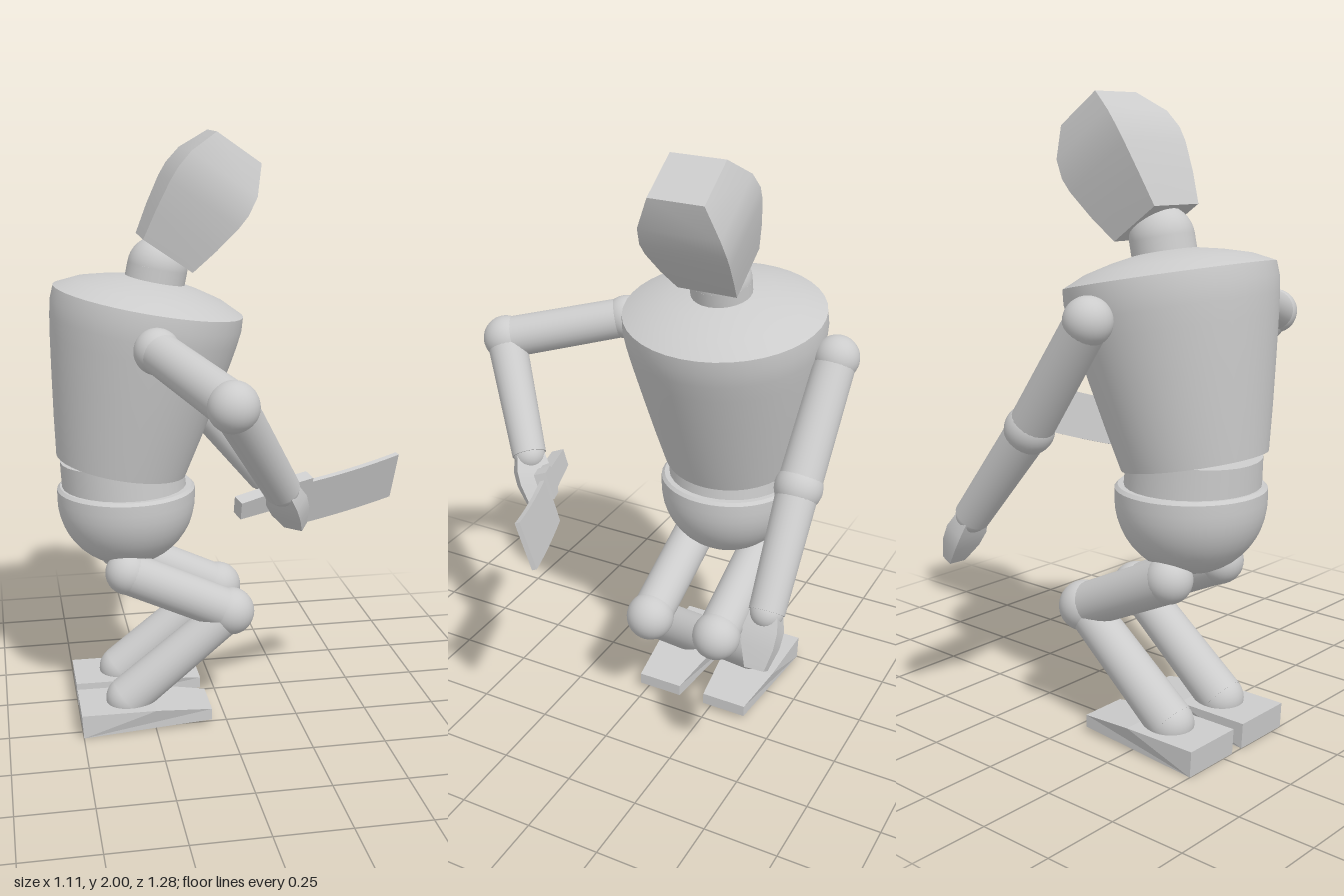
import * as THREE from 'three';
import { toCreasedNormals } from 'three/addons/utils/BufferGeometryUtils.js';

const material = new THREE.MeshStandardMaterial({ color: 0xcccccc });
const V = (x, y, z) => new THREE.Vector3(x, y, z);
const MID = -0.185; // z of the body's centre plane

function add(parent, name, geometry) {
  const mesh = new THREE.Mesh(geometry, material);
  mesh.name = name;
  parent.add(mesh);
  return mesh;
}

// Puts an object at origin with its local y along up and local x close to side
function orient(object, origin, up, side) {
  const y = up.clone().normalize();
  const z = side.clone().cross(y).normalize();
  const x = y.clone().cross(z);
  object.quaternion.setFromRotationMatrix(new THREE.Matrix4().makeBasis(x, y, z));
  object.position.copy(origin);
  return object;
}

function ball(parent, name, p, r) {
  add(parent, name, new THREE.SphereGeometry(r, 28, 18)).position.copy(p);
}

// Tapered cylinder from a to b
function limb(parent, name, a, b, ra, rb) {
  const dir = b.clone().sub(a);
  const side = Math.abs(dir.z) > Math.abs(dir.x) ? V(1, 0, 0) : V(0, 0, 1);
  const mesh = add(parent, name, new THREE.CylinderGeometry(rb, ra, dir.length(), 28));
  orient(mesh, a.clone().lerp(b, 0.5), dir, side);
}

// Round profile of [radius, height] pairs
function turned(profile, creaseAngle = 0.6) {
  const points = profile.map(([r, h]) => new THREE.Vector2(r, h));
  return toCreasedNormals(new THREE.LatheGeometry(points, 40), creaseAngle);
}

// Four-sided profile of [half width, height] pairs
function squareTurned(profile) {
  const points = profile.map(([r, h]) => new THREE.Vector2(r * Math.SQRT2, h));
  return toCreasedNormals(new THREE.LatheGeometry(points, 4, Math.PI / 4), 0.6);
}

function addBody(model) {
  // Chest: leaning barrel with a shallow domed top
  const chest = add(model, 'chest', turned([
    [0, 0], [0.222, 0], [0.25, 0.13], [0.278, 0.27], [0.305, 0.41], [0.315, 0.47],
    [0.321, 0.52], [0.318, 0.565], [0.25, 0.598], [0.17, 0.62], [0.08, 0.638], [0, 0.643],
  ]));
  orient(chest, V(-0.33, 0.9, MID), V(0.18, 0.983, 0), V(1, 0, 0));
  chest.scale.z = 1.05;

  limb(model, 'waist', V(-0.32, 0.8, MID), V(-0.33, 0.93, MID), 0.212, 0.208);

  // Pelvis: half ball under a short rim
  const bowl = [[0, 0.03], [0.225, 0.03], [0.235, 0.02], [0.235, -0.015]];
  for (let i = 1; i <= 12; i++) {
    const t = (i / 12) * Math.PI / 2;
    bowl.push([0.235 * Math.cos(t), -0.015 - 0.235 * Math.sin(t)]);
  }
  const pelvis = add(model, 'pelvis', turned(bowl.reverse()));
  pelvis.position.set(-0.315, 0.796, MID);

  limb(model, 'neck', V(-0.215, 1.48, MID), V(-0.197, 1.565, MID), 0.1, 0.1);
  ball(model, 'neckBall', V(-0.197, 1.565, MID), 0.1);

  // Head: faceted block tilted forward
  const head = add(model, 'head', squareTurned([
    [0, 0], [0.097, 0], [0.118, 0.1], [0.134, 0.2], [0.137, 0.25], [0.129, 0.315], [0.088, 0.412], [0, 0.412],
  ]));
  orient(head, V(-0.175, 1.61, MID), V(0.569, 0.823, 0), V(1, 0, 0));
  head.scale.z = 1.05;
}

function addArm(model, name, shoulder, elbow, wrist, tip, handSide) {
  const arm = new THREE.Group();
  arm.name = name;
  model.add(arm);
  ball(arm, 'shoulder', shoulder, 0.073);
  limb(arm, 'upperArm', shoulder, elbow, 0.066, 0.07);
  ball(arm, 'elbow', elbow, 0.077);
  limb(arm, 'forearm', elbow, wrist, 0.067, 0.057);
  ball(arm, 'wrist', wrist, 0.053);

  // Hand: flat tapering mitten
  const dir = tip.clone().sub(wrist);
  const n = dir.length();
  const hand = add(arm, 'hand', squareTurned([
    [0, 0], [0.045, 0], [0.056, n * 0.3], [0.052, n * 0.6], [0.032, n], [0, n],
  ]));
  orient(hand, wrist, dir, handSide);
  hand.scale.z = 0.6;
}

function addLeg(model, name, z) {
  const leg = new THREE.Group();
  leg.name = name;
  model.add(leg);
  const hip = V(-0.33, 0.55, z), knee = V(0.025, 0.385, z), ankle = V(-0.34, 0.09, z);
  ball(leg, 'hip', hip, 0.075);
  limb(leg, 'thigh', hip, knee, 0.073, 0.072);
  ball(leg, 'knee', knee, 0.082);
  limb(leg, 'shin', knee, ankle, 0.066, 0.074);
  ball(leg, 'ankle', ankle, 0.073);

  // Foot: side outline extruded, narrowed towards the toe
  const outline = [[-0.5, 0], [-0.055, 0.018], [-0.055, 0.058], [-0.25, 0.08], [-0.505, 0.082]];
  const shape = new THREE.Shape(outline.map(([x, y]) => new THREE.Vector2(x, y)));
  const foot = new THREE.ExtrudeGeometry(shape, { depth: 0.206, bevelEnabled: false });
  foot.translate(0, 0, -0.103);
  const p = foot.attributes.position;
  for (let i = 0; i < p.count; i++) {
    if (p.getX(i) > -0.1) p.setZ(i, p.getZ(i) * 0.77);
  }
  foot.computeVertexNormals();
  add(leg, 'foot', foot).position.z = z;
}

function addKnife(model) {
  const knife = new THREE.Group();
  knife.name = 'knife';
  model.add(knife);
  const slab = (shape, depth) =>
    new THREE.ExtrudeGeometry(shape, { depth, bevelEnabled: false }).translate(0, 0, -depth / 2);

  const grip = new THREE.Shape([
    [0, -0.03], [0.19, -0.036], [0.2, -0.05], [0.262, -0.05],
    [0.262, 0.045], [0.2, 0.045], [0.19, 0.036], [0, 0.03],
  ].map(([x, y]) => new THREE.Vector2(x, y)));
  add(knife, 'handle', slab(grip, 0.042));

  // Broad blade with a gently curved cutting edge
  const blade = new THREE.Shape();
  blade.moveTo(0.235, 0.022);
  blade.lineTo(0.238, -0.136);
  blade.quadraticCurveTo(0.42, -0.15, 0.6, -0.143);
  blade.lineTo(0.612, 0.022);
  blade.quadraticCurveTo(0.43, 0.008, 0.235, 0.022);
  add(knife, 'blade', slab(blade, 0.016));

  orient(knife, V(-0.025, 0.885, 0.325), V(0, 0.95, 0.316), V(0.934, 0.108, -0.338));
}

export function createModel() {
  const model = new THREE.Group();
  model.name = 'figure';
  addBody(model);
  addArm(model, 'leftArm', V(-0.25, 1.355, 0.185), V(-0.085, 1.265, 0.565),
    V(0.105, 0.95, 0.365), V(0.165, 0.81, 0.3), V(0.72, 0, 0.69));
  addArm(model, 'rightArm', V(-0.25, 1.355, -0.567), V(0, 1.01, -0.56),
    V(0.25, 0.7, -0.575), V(0.335, 0.545, -0.583), V(0, 0, 1));
  addLeg(model, 'leftLeg', -0.055);
  addLeg(model, 'rightLeg', -0.308);
  addKnife(model);
  return model;
}
